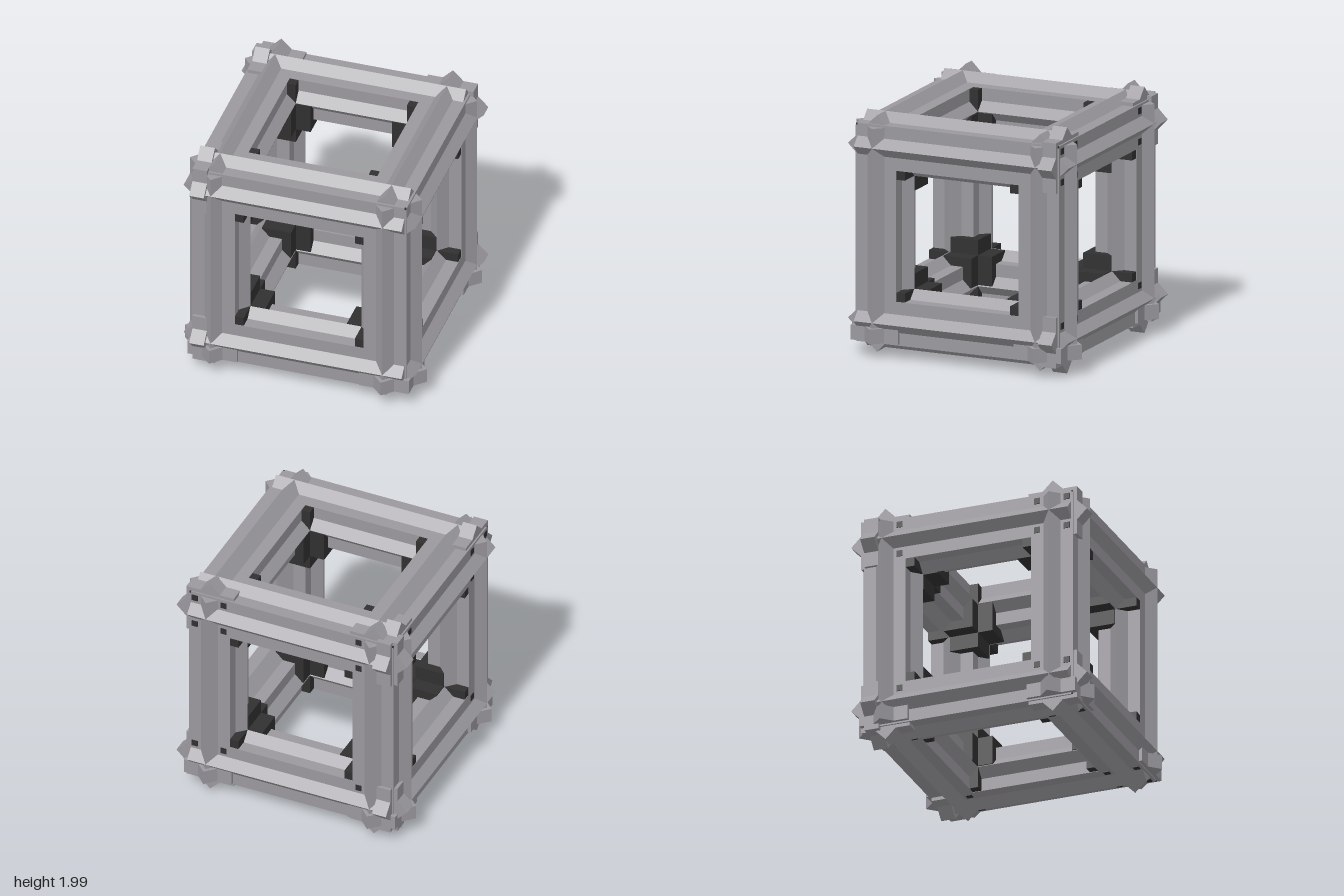
import * as THREE from 'three';

const C = 0.707;      // beam axis distance from the centre
const END = 0.866;    // beam half length

// Extruded eight-pointed star (two overlapping squares), running along z from z0 to z1
function starPrism(radius, z0, z1) {
  const inner = radius / Math.SQRT2 / Math.cos(Math.PI / 8);
  const pts = [];
  for (let i = 0; i < 16; i++) {
    const r = i % 2 ? inner : radius;
    const a = (i * Math.PI) / 8;
    pts.push(new THREE.Vector2(Math.cos(a) * r, Math.sin(a) * r));
  }
  const geo = new THREE.ExtrudeGeometry(new THREE.Shape(pts), { depth: z1 - z0, bevelEnabled: false });
  geo.translate(0, 0, z0);
  return geo;
}

export function createModel() {
  const model = new THREE.Group();
  model.name = 'cubeFrame';
  const grey = new THREE.MeshStandardMaterial({ color: 0x9a989d });
  grey.name = 'metalGrey';
  const dark = new THREE.MeshStandardMaterial({ color: 0x303030 });
  dark.name = 'darkJoint';

  const frame = new THREE.Group();
  frame.name = 'frame';
  frame.position.y = 1;
  model.add(frame);

  const add = (parent, geo, mat, name) => {
    const mesh = new THREE.Mesh(geo, mat);
    mesh.name = name;
    parent.add(mesh);
    return mesh;
  };

  const beamGeo = starPrism(0.25, -END, END);
  const collarGeo = starPrism(0.29, -0.87, -0.75);
  const coreGeo = new THREE.BoxGeometry(0.423, 0.423, 0.423);
  const armGeo = new THREE.BoxGeometry(0.24, 0.24, 0.13);
  const dotGeo = new THREE.BoxGeometry(0.05, 0.05, 0.008);

  // Turns that carry the z axis onto x, y and z by cycling the axes
  const X = new THREE.Vector3(1, 0, 0), Y = new THREE.Vector3(0, 1, 0), Z = new THREE.Vector3(0, 0, 1);
  const turns = {
    x: new THREE.Matrix4().makeBasis(Y, Z, X),
    y: new THREE.Matrix4().makeBasis(Z, X, Y),
    z: new THREE.Matrix4(),
  };

  for (const [axis, turn] of Object.entries(turns)) {
    const set = new THREE.Group();
    set.name = axis + 'Beams';
    set.setRotationFromMatrix(turn);
    frame.add(set);
    for (const a of [-1, 1]) for (const b of [-1, 1]) {
      // Four parallel beams, each with a collar at its negative end
      add(set, beamGeo, grey, 'beam').position.set(a * C, b * C, 0);
      add(set, collarGeo, grey, 'endCollar').position.set(a * C, b * C, 0);
      // Dark joint arms on the inner side of the beam
      for (const s of [-1, 1]) {
        add(set, armGeo, dark, 'jointArm').position.set(a * 0.577, b * 0.577, s * 0.4);
      }
      // Small dark studs around the crossing on the negative face
      for (const u of [-1, 1]) for (const v of [-1, 1]) {
        add(set, dotGeo, dark, 'stud').position.set(a * C + u * 0.125, b * C + v * 0.125, -0.886);
      }
    }
  }

  // Dark joint core inside each corner
  for (const x of [-1, 1]) for (const y of [-1, 1]) for (const z of [-1, 1]) {
    add(frame, coreGeo, dark, 'jointCore').position.set(x * 0.669, y * 0.669, z * 0.669);
  }
  return model;
}
